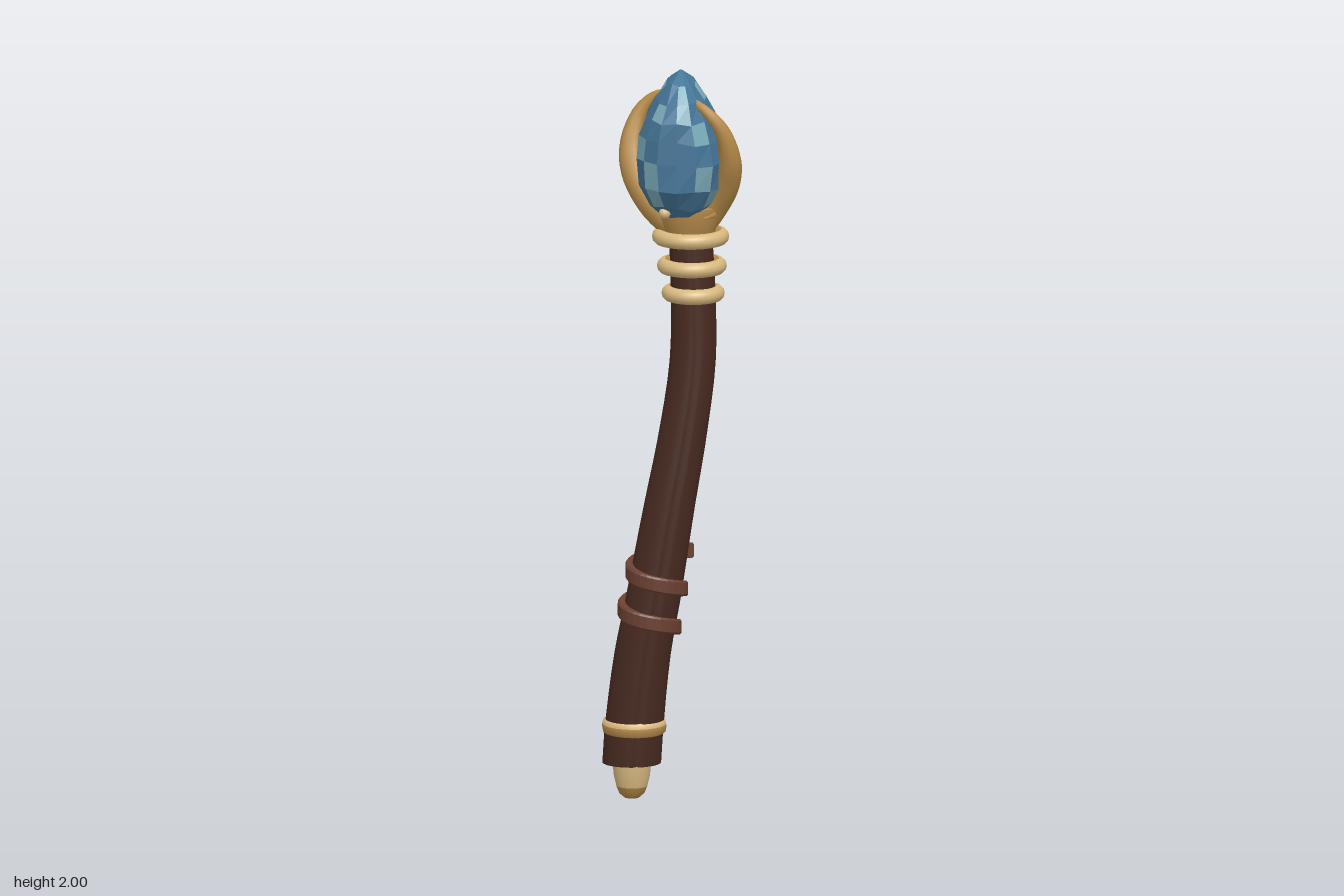
import * as THREE from 'three';

const mat = (name, color) => Object.assign(new THREE.MeshStandardMaterial({ color }), { name });
const V = (x, y, z) => new THREE.Vector3(x, y, z);

// Skin a list of equal-length point rings, with flat end caps.
function loft(rings) {
  const n = rings[0].length, pos = [], idx = [];
  rings.forEach(r => r.forEach(p => pos.push(p.x, p.y, p.z)));
  for (let i = 0; i < rings.length - 1; i++) {
    for (let j = 0; j < n; j++) {
      const k = (j + 1) % n, a = i * n + j, b = i * n + k;
      idx.push(a, b, b + n, a, b + n, a + n);
    }
  }
  [rings[0], rings[rings.length - 1]].forEach((ring, end) => {
    const start = pos.length / 3, c = V(0, 0, 0);
    ring.forEach(p => { pos.push(p.x, p.y, p.z); c.addScaledVector(p, 1 / n); });
    pos.push(c.x, c.y, c.z);
    for (let j = 0; j < n; j++) {
      const a = start + j, b = start + (j + 1) % n;
      end ? idx.push(a, b, start + n) : idx.push(b, a, start + n);
    }
  });
  const g = new THREE.BufferGeometry();
  g.setAttribute('position', new THREE.Float32BufferAttribute(pos, 3));
  g.setIndex(idx);
  g.computeVertexNormals();
  return g;
}

// Give every face its own flat normal.
function faceted(geometry) {
  const g = geometry.toNonIndexed();
  g.computeVertexNormals();
  return g;
}

// Horizontal ring around c; radius may depend on the point index.
function flatRing(c, n, radius) {
  return Array.from({ length: n }, (_, j) => {
    const a = j / n * Math.PI * 2, r = radius(j);
    return V(c.x + Math.sin(a) * r, c.y, c.z + Math.cos(a) * r);
  });
}

// Round tube along a curve whose radius follows radius(t).
function taperedTube(curve, steps, n, radius) {
  const f = curve.computeFrenetFrames(steps);
  return loft(Array.from({ length: steps + 1 }, (_, i) => {
    const c = curve.getPointAt(i / steps), r = radius(i / steps);
    return Array.from({ length: n }, (_, j) => {
      const a = j / n * Math.PI * 2;
      return c.clone().addScaledVector(f.normals[i], Math.cos(a) * r)
        .addScaledVector(f.binormals[i], Math.sin(a) * r);
    });
  }));
}

export function createModel() {
  const wood = mat('dark wood', 0x472a20), leather = mat('leather', 0x6a4031);
  const gold = mat('gold', 0xb98d4b), bone = mat('pale gold', 0xd8b97f);
  const blue = mat('blue crystal', 0x47789a), pale = mat('pale crystal', 0x7dadbc);
  const model = new THREE.Group();
  const add = (name, geometry, material, at) => {
    const m = new THREE.Mesh(geometry, material);
    m.name = name;
    if (at) m.position.copy(at);
    model.add(m);
    return m;
  };

  // Curved shaft with narrow grooves: x, y, z, radius
  const path = [
    [-0.113, 0.1, -0.003, 0.079], [-0.106, 0.2, 0, 0.079], [-0.083, 0.4, 0.006, 0.076],
    [-0.053, 0.56, 0.008, 0.074], [-0.012, 0.8, 0.004, 0.069], [0.024, 1, -0.005, 0.065],
    [0.05, 1.2, -0.016, 0.062], [0.051, 1.38, -0.022, 0.06], [0.042, 1.58, -0.023, 0.058],
  ];
  const shaftAt = y => {
    let i = 0;
    while (i < path.length - 2 && path[i + 1][1] < y) i++;
    const t = (y - path[i][1]) / (path[i + 1][1] - path[i][1]);
    const m = path[i].map((v, k) => v + (path[i + 1][k] - v) * t);
    return { c: V(m[0], y, m[2]), r: m[3] };
  };
  const spine = new THREE.CatmullRomCurve3(path.map(p => V(p[0], p[1], p[2])));
  const rings = [];
  for (let i = 0; i <= 28; i++) {
    const c = spine.getPoint(i / 28), r = shaftAt(c.y).r;
    rings.push(flatRing(c, 48, j => r * (j % 16 === 2 ? 0.9 : 1)));
  }
  add('shaft', loft(rings), wood);

  // Foot tip in two tones
  const lathe = (pts) => new THREE.LatheGeometry(pts.map(p => new THREE.Vector2(p[0], p[1])), 24);
  const footAt = V(-0.113, 0, -0.005);
  add('footTip', lathe([[0, 0], [0.02, 0.003], [0.034, 0.015], [0.042, 0.035]]), gold, footAt);
  add('footFerrule', lathe([[0.042, 0.035], [0.049, 0.065], [0.052, 0.1], [0.052, 0.11]]), bone, footAt);

  // Foot band with a pale upper lip
  const bandAt = shaftAt(0.2).c;
  add('footBand', lathe([[0.078, -0.019], [0.084, -0.015], [0.087, 0], [0.086, 0.006]]), gold, bandAt);
  add('footBandLip', lathe([[0.086, 0.006], [0.084, 0.018], [0.074, 0.02]]), bone, bandAt);

  // Neck rings, worn pale on the outside: y, outer radius
  [[1.385, 0.085], [1.46, 0.094], [1.54, 0.104]].forEach(([y, R]) => {
    const torus = new THREE.TorusGeometry(R - 0.021, 0.021, 12, 32), row = 32 * 6;
    torus.addGroup(0, row * 3, 0);
    torus.addGroup(row * 3, row * 6, 1);
    torus.addGroup(row * 9, row * 3, 0);
    add('neckRing', torus, [bone, gold], shaftAt(y).c).rotation.x = Math.PI / 2;
  });

  // Flat leather strap wound twice round the shaft
  const strap = [];
  for (let i = 0; i <= 56; i++) {
    const t = i / 56, a = t * Math.PI * 4, { c, r } = shaftAt(0.685 - 0.21 * t);
    const at = (d, h) => V(c.x + Math.cos(a) * (r + d), c.y + h, c.z - Math.sin(a) * (r + d));
    strap.push([at(-0.01, 0.021), at(0.012, 0.021), at(0.016, 0.016),
      at(0.016, -0.016), at(0.012, -0.021), at(-0.01, -0.021)]);
  }
  add('leatherStrap', faceted(loft(strap)), leather);

  // Cup and its rolled rim, thicker and higher at the back
  const cup = V(0.04, 0, -0.025);
  add('cup', loft([[1.545, 0.066], [1.57, 0.074], [1.6, 0.084], [1.625, 0.086]].map(
    ([y, r]) => flatRing(V(cup.x, y, cup.z), 24, () => r))), gold);
  const rim = new THREE.CatmullRomCurve3(Array.from({ length: 16 }, (_, i) => {
    const a = i / 16 * Math.PI * 2;
    return V(cup.x + 0.074 * Math.sin(a), 1.617 - 0.018 * Math.cos(a), cup.z + 0.074 * Math.cos(a));
  }), true);
  add('cupRim', taperedTube(rim, 32, 10, t => 0.018 - 0.009 * Math.cos(t * Math.PI * 2)), gold);
  add('rimBead', new THREE.SphereGeometry(0.016, 12, 8), bone, V(-0.018, 1.62, 0.07));

  // Two horn-like claws sweeping round the crystal
  const clawSize = t => t < 0.5 ? 0.044 - 0.022 * t : 0.033 * (1 - (t - 0.5) / 0.5 * 0.72);
  const claws = {
    rightClaw: [[0.01, 1.565, -0.025], [-0.055, 1.62, -0.03], [-0.108, 1.7, -0.05],
      [-0.122, 1.78, -0.078], [-0.1, 1.86, -0.102], [-0.06, 1.905, -0.1], [-0.015, 1.925, -0.077]],
    leftClaw: [[0.06, 1.565, -0.03], [0.105, 1.62, -0.02], [0.143, 1.69, 0.015],
      [0.156, 1.77, 0.055], [0.138, 1.85, 0.08], [0.1, 1.9, 0.085], [0.062, 1.925, 0.064]],
  };
  for (const [name, pts] of Object.entries(claws)) {
    const curve = new THREE.CatmullRomCurve3(pts.map(p => V(...p)));
    add(name, taperedTube(curve, 24, 10, clawSize), gold);
  }

  // Faceted crystal, cut flat at front and back: y, x radius, z radius
  let seed = 7;
  const rand = () => (seed = (seed * 16807) % 2147483647) / 2147483647;
  const rows = [[1.6, 0.05, 0.05], [1.635, 0.084, 0.1], [1.69, 0.111, 0.141], [1.76, 0.12, 0.155],
    [1.82, 0.113, 0.155], [1.875, 0.092, 0.14], [1.925, 0.067, 0.114],
    [1.968, 0.039, 0.074], [2, 0.003, 0.003]];
  const crystal = faceted(loft(rows.map(([y, rx, rz], i) => Array.from({ length: 14 }, (_, j) => {
    const a = j / 14 * Math.PI * 2, k = 1 + (rand() - 0.5) * 0.06;
    const z = THREE.MathUtils.clamp(Math.cos(a) * rz * k, -0.135, 0.135);
    const lift = i > 0 && i < rows.length - 1 ? (rand() - 0.5) * 0.016 : 0;
    return V(0.02 + Math.sin(a) * rx * k, y + lift, z);
  }))));
  // Pale facets by row, counted round from the front
  const paleFacets = [[], [2, 12], [1, 4, 7, 12], [3, 6, 7, 11], [1, 3, 5, 10],
    [0, 7, 12], [0, 3, 7, 10], [7]];
  paleFacets.forEach((cols, row) => {
    for (let col = 0; col < 14; col++) {
      crystal.addGroup((row * 14 + col) * 6, 6, cols.includes(col) ? 1 : 0);
    }
  });
  crystal.addGroup(paleFacets.length * 84, 84, 0);
  add('crystal', crystal, [blue, pale]);

  return model;
}
